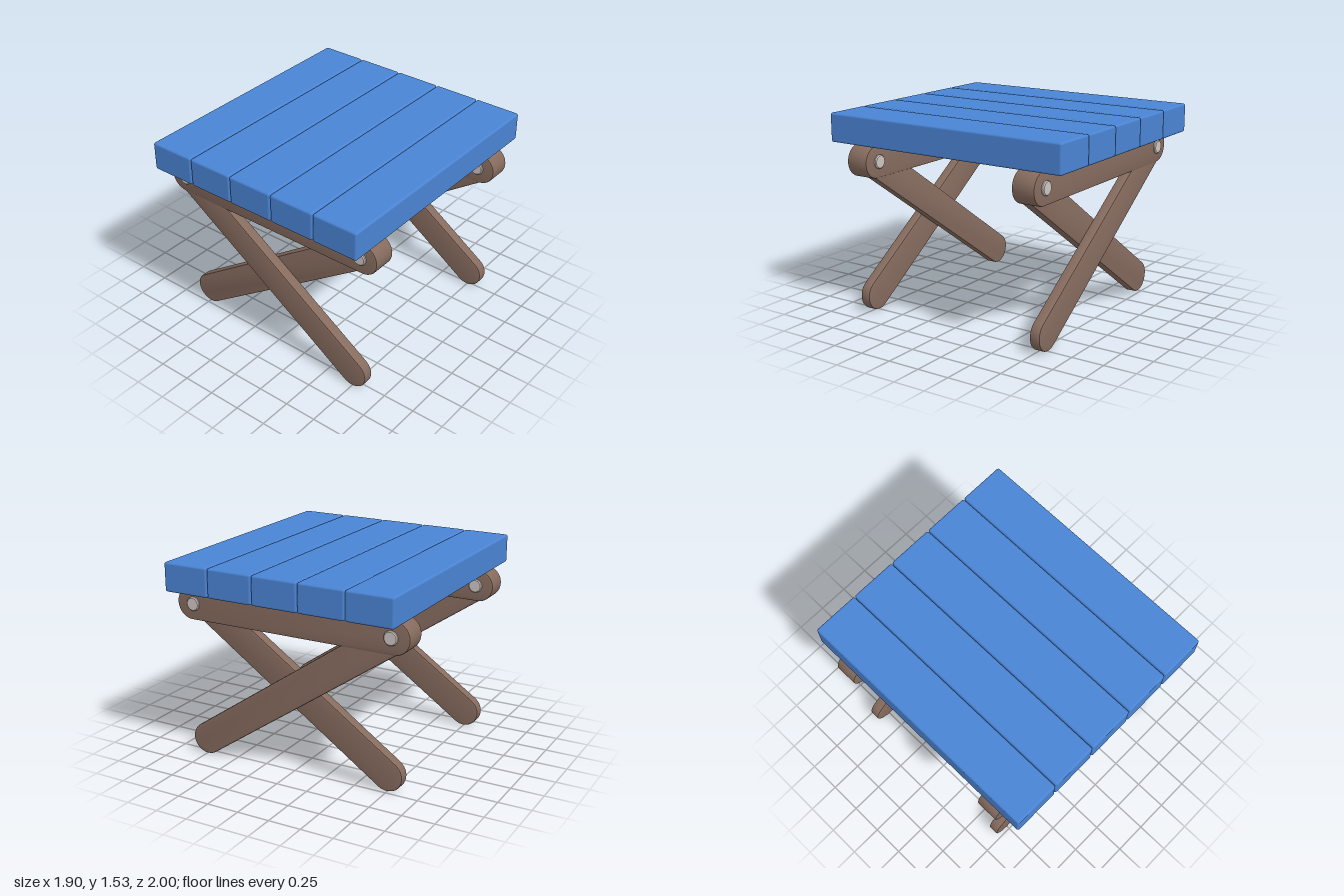
import * as THREE from 'three';
import { toCreasedNormals } from 'three/addons/utils/BufferGeometryUtils.js';
import { RoundedBoxGeometry } from 'three/addons/geometries/RoundedBoxGeometry.js';

function flat(name, color) {
  const m = new THREE.MeshStandardMaterial({ color });
  m.name = name;
  return m;
}

// Round-ended bar between two points in the xy plane, spanning z0 to z1
function bar(ax, ay, bx, by, r, z0, z1) {
  const bevel = 0.01;
  const half = Math.hypot(bx - ax, by - ay) / 2;
  const s = new THREE.Shape();
  s.absarc(half, 0, r - bevel, -Math.PI / 2, Math.PI / 2, false);
  s.absarc(-half, 0, r - bevel, Math.PI / 2, Math.PI * 1.5, false);
  s.closePath();
  const g = new THREE.ExtrudeGeometry(s, {
    depth: z1 - z0 - 2 * bevel, curveSegments: 16,
    bevelEnabled: true, bevelSize: bevel, bevelThickness: bevel, bevelSegments: 2,
  });
  g.rotateZ(Math.atan2(by - ay, bx - ax));
  g.translate((ax + bx) / 2, (ay + by) / 2, z0 + bevel);
  return toCreasedNormals(g, 0.6);
}

export function createModel() {
  const model = new THREE.Group();
  model.name = 'foldingTable';
  const blue = flat('bluePaint', 0x4a84d4);
  const brown = flat('brownWood', 0x866b5e);
  const metal = flat('paleMetal', 0xcfc5c2);

  function add(name, geometry, material, parent = model) {
    const mesh = new THREE.Mesh(geometry, material);
    mesh.name = name;
    parent.add(mesh);
    return mesh;
  }

  // Table top planks
  const pitch = 0.369;
  for (let i = 0; i < 5; i++) {
    const plank = add('plank' + (i + 1), new RoundedBoxGeometry(0.364, 0.22, 2, 2, 0.016), blue);
    plank.position.set((i - 2) * pitch, 1.42, 0);
  }

  // Crossed leg frames, mirrored front and back
  const pinX = 0.81, pinY = 1.186;
  for (const side of [1, -1]) {
    const frame = new THREE.Group();
    frame.name = side > 0 ? 'frontFrame' : 'backFrame';
    model.add(frame);
    const span = (a, b) => (side > 0 ? [a, b] : [-b, -a]);

    add('rail', bar(-0.828, pinY, 0.828, pinY, 0.124, ...span(0.635, 0.815)), brown, frame);
    add('outerLeg', bar(-pinX, pinY, 0.744, 0.121, 0.121, ...span(0.726, 0.808)), brown, frame);
    add('innerLeg', bar(pinX, pinY, -0.744, 0.121, 0.121, ...span(0.644, 0.726)), brown, frame);

    // Pivot pins with slightly eased rims
    for (const x of [-pinX, pinX]) {
      const profile = [[0, -0.107], [0.046, -0.107], [0.053, -0.1], [0.053, 0.1], [0.046, 0.107], [0, 0.107]]
        .map(([r, y]) => new THREE.Vector2(r, y));
      const g = toCreasedNormals(new THREE.LatheGeometry(profile, 28).toNonIndexed(), 0.5);
      const pin = add('pivotPin', g, metal, frame);
      pin.rotation.x = Math.PI / 2;
      pin.position.set(x, pinY, side * 0.725);
    }
  }
  return model;
}
